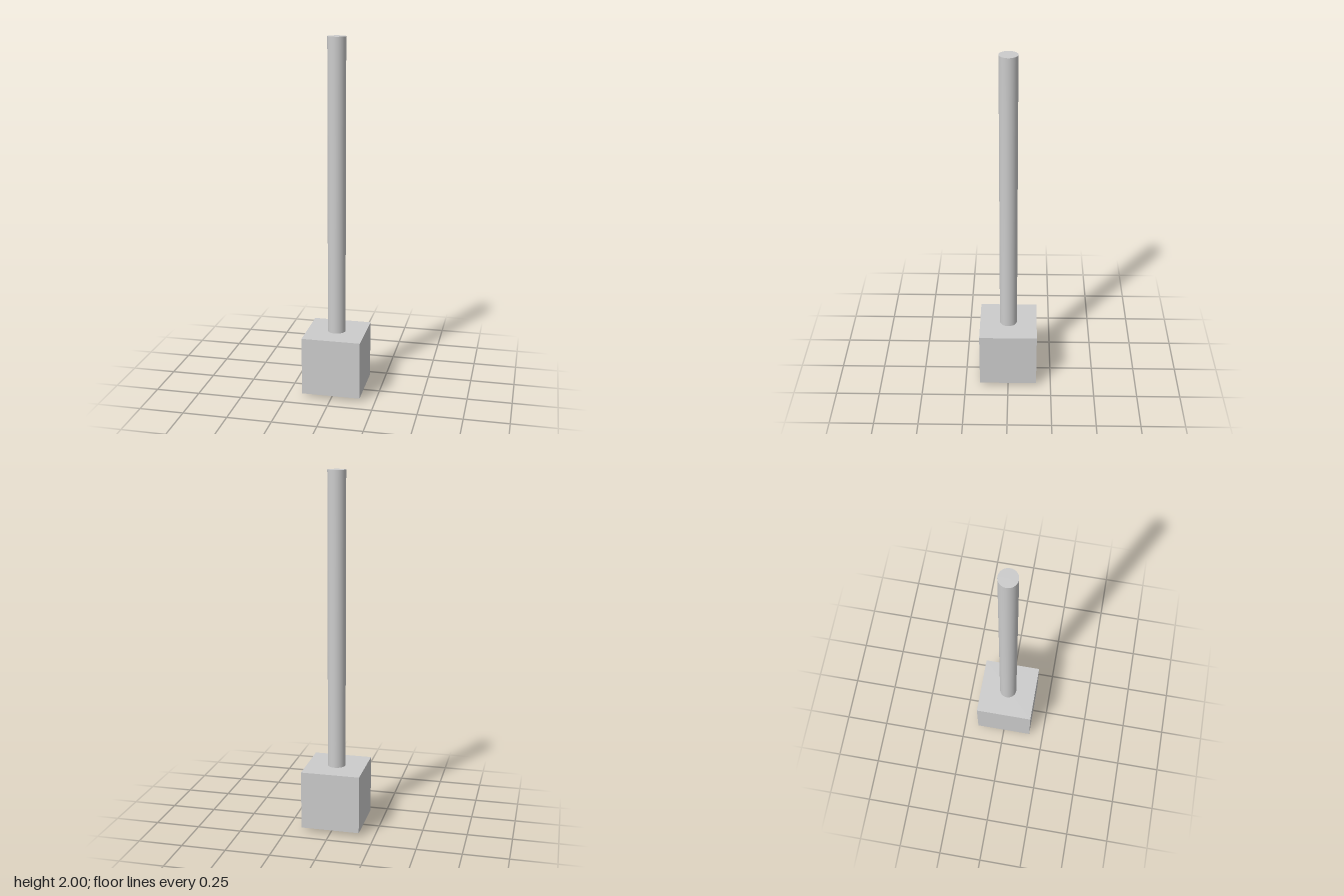
import * as THREE from 'three';

export function createModel() {
  const group = new THREE.Group();
  const material = new THREE.MeshStandardMaterial({ color: 0xcccccc });

  const addPart = (name, geometry, y) => {
    const mesh = new THREE.Mesh(geometry, material);
    mesh.name = name;
    mesh.position.y = y;
    group.add(mesh);
  };

  // Round handle runs through the block and pokes out slightly underneath
  addPart('handle', new THREE.CylinderGeometry(0.05, 0.05, 2, 64), 1);

  // Cubic head block near the lower end
  const size = 0.33;
  addPart('headBlock', new THREE.BoxGeometry(size, size, size), 0.02 + size / 2);

  return group;
}
